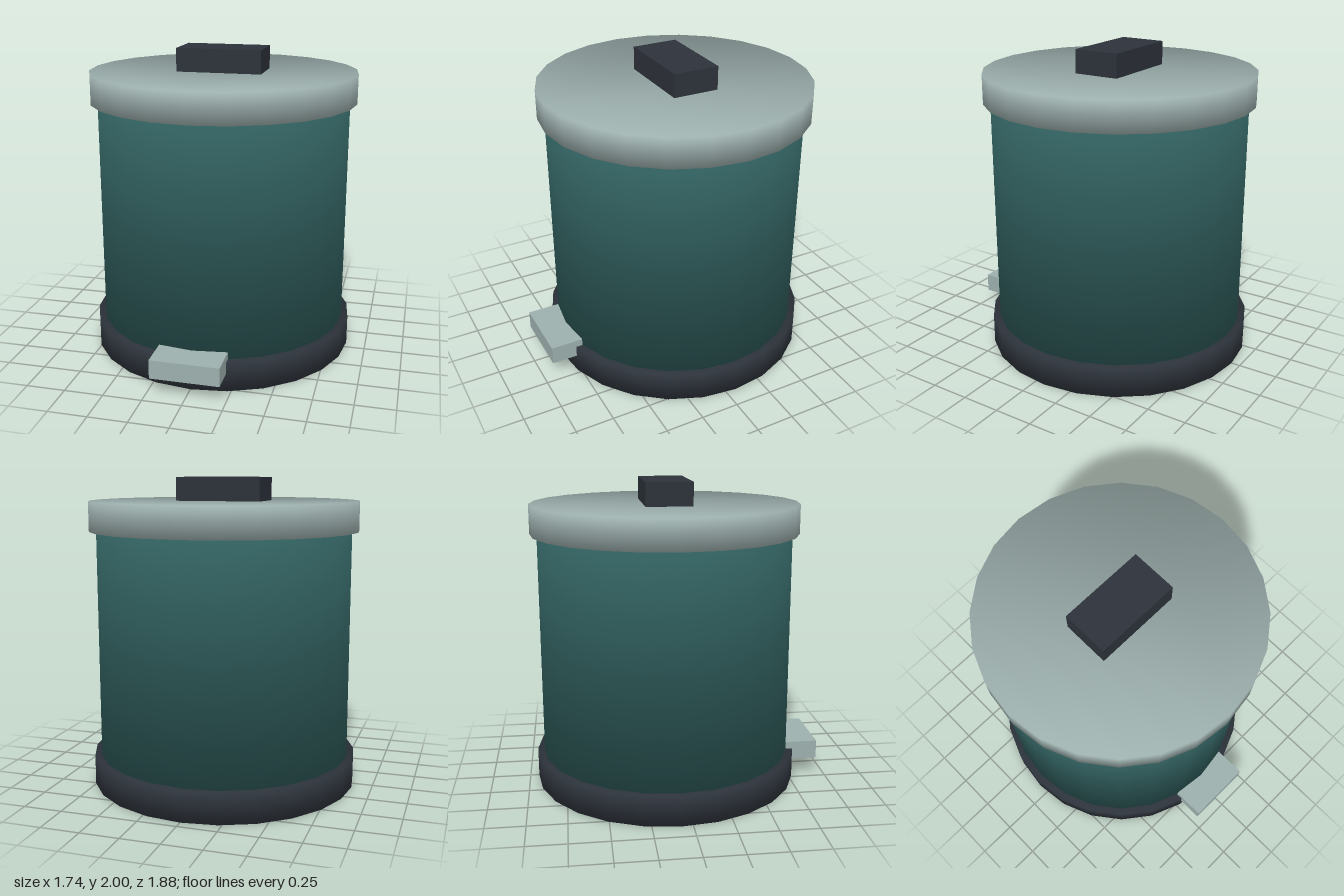
import * as THREE from 'three';

const SIDES = 24;
const CENTRE_Z = -0.07;

// Closed drum whose normals run softly over the rim, so sides and caps shade as one
function drumGeometry(radius, y0, y1) {
  const pos = [], nor = [], idx = [];
  for (const [y, up] of [[y0, -1], [y1, 1]]) {
    for (let i = 0; i < SIDES; i++) {
      const a = (i / SIDES) * Math.PI * 2;
      const n = new THREE.Vector3(Math.sin(a), up * 0.92, Math.cos(a)).normalize();
      pos.push(radius * Math.sin(a), y, radius * Math.cos(a));
      nor.push(n.x, n.y, n.z);
    }
  }
  for (let i = 0; i < SIDES; i++) {
    const j = (i + 1) % SIDES;
    idx.push(i, j, j + SIDES, i, j + SIDES, i + SIDES); // wall
    if (i > 0 && i < SIDES - 1) {
      idx.push(0, i + 1, i); // bottom cap
      idx.push(SIDES, SIDES + i, SIDES + i + 1); // top cap
    }
  }
  const g = new THREE.BufferGeometry();
  g.setAttribute('position', new THREE.Float32BufferAttribute(pos, 3));
  g.setAttribute('normal', new THREE.Float32BufferAttribute(nor, 3));
  g.setIndex(idx);
  return g;
}

export function createModel() {
  const group = new THREE.Group();
  group.name = 'pedalBin';

  const material = (name, color) => {
    const m = new THREE.MeshStandardMaterial({ color });
    m.name = name;
    return m;
  };
  const teal = material('teal', 0x2f5d5c);
  const paleGrey = material('paleGrey', 0x9db0ae);
  const charcoal = material('charcoal', 0x2d333b);

  const add = (name, geometry, mat, x, y, z) => {
    const mesh = new THREE.Mesh(geometry, mat);
    mesh.name = name;
    mesh.position.set(x, y, z);
    group.add(mesh);
  };

  // Drum-shaped parts
  add('base', drumGeometry(0.872, 0, 0.194), charcoal, 0, 0, CENTRE_Z);
  add('body', drumGeometry(0.827, 0.194, 1.66), teal, 0, 0, CENTRE_Z);
  add('lid', drumGeometry(0.872, 1.66, 1.85), paleGrey, 0, 0, CENTRE_Z);

  // Block handle on the lid and foot pedal at the front
  add('handle', new THREE.BoxGeometry(0.552, 0.15, 0.298), charcoal, 0, 1.925, CENTRE_Z);
  add('pedal', new THREE.BoxGeometry(0.44, 0.122, 0.212), paleGrey, 0, 0.181, 0.835);

  return group;
}
